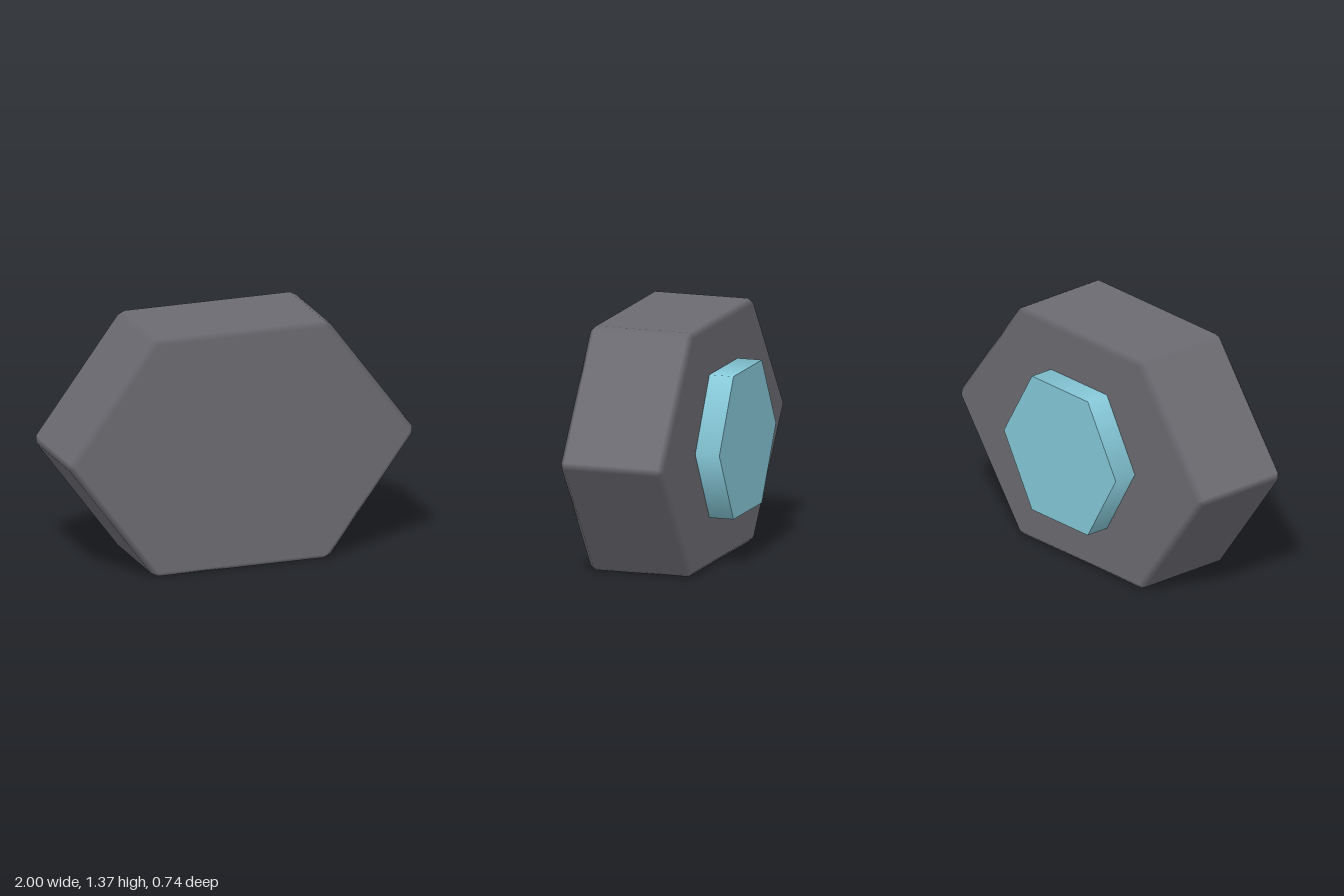
import * as THREE from 'three';

// Hexagonal prism with chamfered edges; bevel shading blends between the flat faces.
function bevelledHexBody(halfW, halfTop, halfH, zBack, zFront, bevel, cut) {
  const corners = [
    [halfW, 0], [halfTop, halfH], [-halfTop, halfH],
    [-halfW, 0], [-halfTop, -halfH], [halfTop, -halfH],
  ].map(([x, y]) => new THREE.Vector2(x, y));
  const capScale = 1 - bevel / (halfH + 0.06);

  // Two outline points per side, each carrying that side's normal
  const outline = [];
  corners.forEach((a, i) => {
    const b = corners[(i + 1) % 6];
    const d = b.clone().sub(a).normalize();
    const n = new THREE.Vector2(d.y, -d.x);
    outline.push({ p: a.clone().addScaledVector(d, cut), n, cap: a });
    outline.push({ p: b.clone().addScaledVector(d, -cut), n, cap: b });
  });

  const pos = [], nor = [], index = [];
  const rings = [
    { z: zBack, capN: -1 }, { z: zBack + bevel, capN: 0 },
    { z: zFront - bevel, capN: 0 }, { z: zFront, capN: 1 },
  ];
  for (const { z, capN } of rings) {
    for (const { p, n, cap } of outline) {
      if (capN) {
        pos.push(cap.x * capScale, cap.y * capScale, z);
        nor.push(0, 0, capN);
      } else {
        pos.push(p.x, p.y, z);
        nor.push(n.x, n.y, 0);
      }
    }
  }
  const N = outline.length;
  for (let r = 0; r < 3; r++) {
    for (let i = 0; i < N; i++) {
      const j = (i + 1) % N;
      const a = r * N + i, b = r * N + j;
      index.push(a, b, b + N, a, b + N, a + N);
    }
  }
  // Flat caps, one corner per side
  for (let i = 2; i < N - 2; i += 2) {
    index.push(0, i + 2, i);
    index.push(3 * N, 3 * N + i, 3 * N + i + 2);
  }
  const geo = new THREE.BufferGeometry();
  geo.setAttribute('position', new THREE.Float32BufferAttribute(pos, 3));
  geo.setAttribute('normal', new THREE.Float32BufferAttribute(nor, 3));
  geo.setIndex(index);
  return geo;
}

export function createModel() {
  const group = new THREE.Group();
  const darkGrey = new THREE.MeshStandardMaterial({ color: 0x6c6b71 });
  darkGrey.name = 'dark grey';
  const paleBlue = new THREE.MeshStandardMaterial({ color: 0x86c8d8 });
  paleBlue.name = 'pale blue';
  const centreY = 0.683;

  // Wide hexagonal block
  const body = new THREE.Mesh(
    bevelledHexBody(1.013, 0.507, 0.683, -0.23, 0.37, 0.03, 0.025), darkGrey);
  body.name = 'body';
  body.position.y = centreY;
  group.add(body);

  // Regular hexagonal boss on the back, smooth around its sides
  const depth = 0.17;
  const bossGeo = new THREE.CylinderGeometry(0.462, 0.462, depth, 6, 1, false, Math.PI / 2);
  bossGeo.rotateX(-Math.PI / 2);
  const boss = new THREE.Mesh(bossGeo, paleBlue);
  boss.name = 'rearBoss';
  boss.position.set(0, centreY, -0.37 + depth / 2);
  group.add(boss);

  return group;
}
